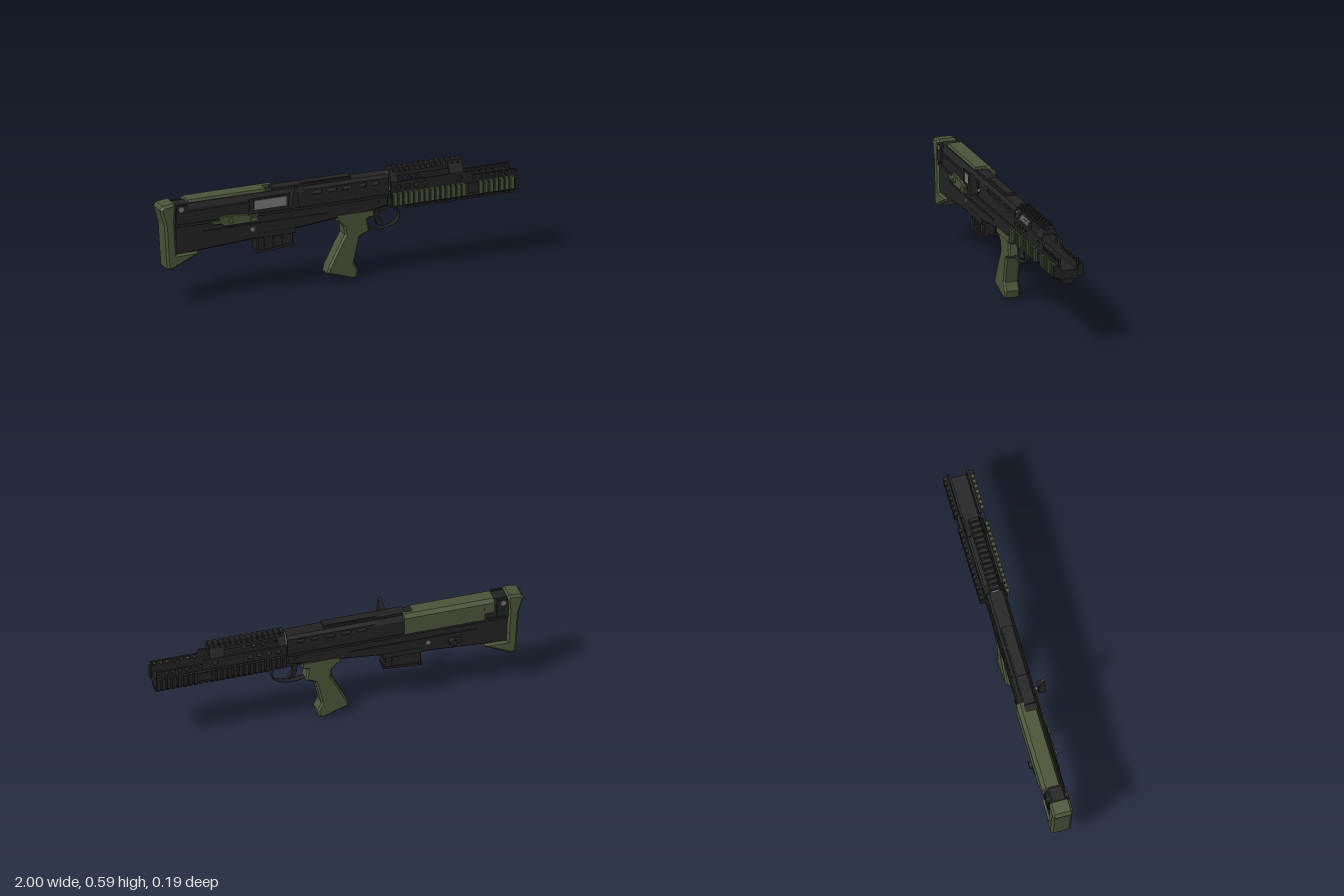
import * as THREE from 'three';

const mat = (name, color) => new THREE.MeshStandardMaterial({ name, color });

export function createModel() {
  const black = mat('black metal', 0x222222);
  const olive = mat('olive polymer', 0x4b5439);
  const gray = mat('bare steel', 0x777777);
  const model = new THREE.Group();
  const ZC = -0.013; // centre plane of the body

  const add = (name, geo, m, parent = model) => {
    const mesh = new THREE.Mesh(geo, m);
    mesh.name = name;
    parent.add(mesh);
    return mesh;
  };
  const group = (name) => {
    const g = new THREE.Group();
    g.name = name;
    model.add(g);
    return g;
  };
  // Box given by its limits
  const box = (name, x0, x1, y0, y1, z0, z1, m, parent) => {
    const b = add(name, new THREE.BoxGeometry(x1 - x0, y1 - y0, z1 - z0), m, parent);
    b.position.set((x0 + x1) / 2, (y0 + y1) / 2, (z0 + z1) / 2);
    return b;
  };
  const shapeOf = (pts) => new THREE.Shape(pts.map((p) => new THREE.Vector2(p[0], p[1])));
  const extrude = (shape, depth, bevel) => new THREE.ExtrudeGeometry(shape, {
    depth: depth - 2 * bevel, bevelEnabled: bevel > 0, bevelThickness: bevel,
    bevelSize: bevel, bevelOffset: -bevel, bevelSegments: 1, curveSegments: 6,
  }).translate(0, 0, bevel);
  // Side profile (x, y) extruded across z
  const side = (name, pts, z0, z1, m, bevel = 0, holes = [], parent = model) => {
    const s = shapeOf(pts);
    s.holes.push(...holes);
    return add(name, extrude(s, z1 - z0, bevel).translate(0, 0, z0), m, parent);
  };
  // Cross-section (z, y) extruded along x
  const along = (name, pts, x0, x1, m, bevel = 0, parent = model) => {
    const s = shapeOf(pts.map(([z, y]) => [-z, y]));
    return add(name, extrude(s, x1 - x0, bevel).rotateY(Math.PI / 2).translate(x0, 0, 0), m, parent);
  };
  // Disc or pin facing z
  const pin = (name, x, y, z0, z1, r, m, n = 12) => {
    const g = new THREE.CylinderGeometry(r, r, z1 - z0, n).toNonIndexed().rotateX(Math.PI / 2);
    g.computeVertexNormals();
    return add(name, g.translate(x, y, (z0 + z1) / 2), m);
  };
  const slot = (x0, x1, y, r) => {
    const p = new THREE.Path();
    p.absarc(x1 - r, y, r, -Math.PI / 2, Math.PI / 2);
    p.absarc(x0 + r, y, r, Math.PI / 2, Math.PI * 1.5);
    p.closePath();
    return p;
  };
  const hole = (x, y, r) => new THREE.Path().absarc(x, y, r, 0, Math.PI * 2);

  // Butt
  side('buttPad', [[-1, 0.543], [-0.985, 0.562], [-0.92, 0.57], [-0.908, 0.55], [-0.915, 0.48], [-0.905, 0.288],
    [-0.78, 0.288], [-0.79, 0.27], [-0.93, 0.205], [-0.957, 0.21], [-0.963, 0.286], [-0.973, 0.45]],
  -0.068, 0.042, olive, 0.012);

  // Receiver
  side('lowerReceiver', [[-0.915, 0.28], [-0.44, 0.31], [0, 0.355], [0.2, 0.37], [0.285, 0.385], [0.285, 0.495], [-0.915, 0.495]],
    ZC - 0.044, ZC + 0.044, black, 0.006);
  const upper = [[ZC + 0.05, 0.44], [ZC + 0.05, 0.53], [ZC + 0.034, 0.556], [ZC - 0.034, 0.556], [ZC - 0.05, 0.53], [ZC - 0.05, 0.44]];
  along('upperReceiver', upper, -0.915, -0.19, black);
  const slots = [[-0.147, -0.092], [-0.064, -0.008], [0.024, 0.078], [0.116, 0.158], [0.188, 0.232]];
  for (const s of [-1, 1]) {
    const z = ZC + s * 0.045;
    side('ventedSidePlate', [[-0.19, 0.44], [0.285, 0.44], [0.285, 0.54], [-0.19, 0.54]], z - 0.005, z + 0.005, black, 0,
      slots.map(([a, b]) => slot(a, b, 0.52, 0.011)));
  }
  along('receiverTop', [[ZC + 0.05, 0.538], [ZC + 0.034, 0.556], [ZC - 0.034, 0.556], [ZC - 0.05, 0.538]], -0.19, 0.285, black);
  box('topCover', -0.36, 0.08, 0.55, 0.568, ZC - 0.03, ZC + 0.03, black);
  box('coverPlate', -0.2, 0.08, 0.568, 0.572, ZC - 0.022, ZC + 0.022, black);
  for (const s of [-1, 1]) {
    const z = ZC + s * 0.05;
    box('seamRib', -0.9, 0.28, 0.436, 0.45, z - 0.005, z + 0.005, black);
    box('lowerRib', -0.75, -0.05, 0.385, 0.395, ZC + s * 0.044 - 0.005, ZC + s * 0.044 + 0.005, black);
    box('upperRib', -0.88, -0.5, 0.505, 0.517, z - 0.004, z + 0.004, black);
    box('bracket', -0.91, -0.85, 0.46, 0.555, z - 0.006, z + 0.006, black);
    pin('rearPin', -0.885, 0.535, z - 0.009, z + 0.009, 0.015, gray, 8);
    pin('lowerPin', -0.48, 0.365, ZC + s * 0.044 - 0.005, ZC + s * 0.044 + 0.005, 0.012, gray);
    pin('frontPin', 0.235, 0.41, ZC + s * 0.044 - 0.005, ZC + s * 0.044 + 0.005, 0.01, black);
  }

  // Cheek rest, wrapped over the right-hand face
  const cheek = (low) => [[0.016, 0.552], [0.01, 0.57], [-0.062, 0.572], [-0.082, 0.555], [-0.084, low + 0.006],
    [-0.076, low], [-0.055, low], [-0.055, 0.545]];
  along('cheekRest', cheek(0.452), -0.78, -0.4, olive);
  along('cheekRestRear', cheek(0.49), -0.835, -0.78, olive);
  along('cheekRestFront', cheek(0.452).map(([z, y]) => [Math.min(z, -0.042), y]), -0.4, -0.345, olive);

  // Ejection port with bolt
  box('portFrame', -0.5, -0.27, 0.465, 0.535, 0.034, 0.042, black);
  box('bolt', -0.475, -0.295, 0.475, 0.525, 0.041, 0.046, gray);

  // Charging handle, narrowing upward
  pin('handleStem', -0.262, 0.488, 0.03, 0.06, 0.009, gray);
  const knob = along('chargingHandle', [[0.095, 0.472], [0.095, 0.592], [0.075, 0.582], [0.057, 0.545], [0.055, 0.472]], -0.288, -0.242, black);
  const kp = knob.geometry.attributes.position;
  for (let i = 0; i < kp.count; i++) {
    const t = THREE.MathUtils.clamp((kp.getY(i) - 0.53) / 0.065, 0, 1);
    kp.setX(i, -0.262 + (kp.getX(i) + 0.262) * (1 - 0.75 * t));
  }
  knob.geometry.computeVertexNormals();

  // Bolt release lever
  side('boltRelease', [[-0.71, 0.425], [-0.66, 0.425], [-0.65, 0.41], [-0.46, 0.41], [-0.45, 0.45], [-0.5, 0.45],
    [-0.52, 0.46], [-0.56, 0.46], [-0.58, 0.465], [-0.66, 0.465], [-0.67, 0.445], [-0.71, 0.445]], 0.03, 0.052, olive, 0.003);
  pin('releasePivot', -0.61, 0.44, 0.045, 0.062, 0.014, olive);
  box('releaseTab', -0.5, -0.46, 0.415, 0.44, 0.05, 0.06, olive);

  // Selector knob on the other side
  pin('selectorKnob', -0.61, 0.35, -0.09, -0.05, 0.02, black);
  box('selectorLever', -0.66, -0.6, 0.34, 0.36, -0.076, -0.05, black);

  // Magazine well and magazine
  side('magazine', [[-0.447, 0.228], [-0.245, 0.243], [-0.245, 0.33], [-0.447, 0.32]], ZC - 0.036, ZC + 0.036, black, 0.006);
  side('magazineBase', [[-0.452, 0.226], [-0.24, 0.241], [-0.24, 0.254], [-0.452, 0.239]], ZC - 0.04, ZC + 0.04, black);
  for (let i = 0; i < 3; i++) {
    box('magazineRib', -0.41 + i * 0.05, -0.385 + i * 0.05, 0.255, 0.31, ZC - 0.039, ZC + 0.039, black);
  }
  box('magazineWell', -0.46, -0.235, 0.31, 0.34, ZC - 0.046, ZC + 0.046, black);

  // Grip, trigger and guard
  side('grip', [[0, 0.372], [0.198, 0.372], [0.198, 0.334], [0.171, 0.323], [0.182, 0.256], [0.128, 0.233], [0.096, 0.094],
    [0.118, 0.05], [0.112, 0.013], [0.09, 0.003], [-0.055, 0.052], [-0.048, 0.083], [0.01, 0.195], [0.043, 0.254],
    [0.037, 0.297], [0.005, 0.33]], ZC - 0.042, ZC + 0.042, olive, 0.01);
  box('gripCollar', 0, 0.198, 0.34, 0.37, ZC - 0.048, ZC + 0.048, olive);
  const guardPath = new THREE.CatmullRomCurve3([[0.3, 0.372], [0.34, 0.355], [0.358, 0.32], [0.345, 0.28], [0.3, 0.257],
    [0.24, 0.25], [0.17, 0.262]].map(([x, y]) => new THREE.Vector3(x, y, 0)));
  const guard = add('triggerGuard', new THREE.TubeGeometry(guardPath, 24, 0.004, 6), black);
  guard.scale.z = 4.5;
  guard.position.z = ZC;
  side('trigger', [[0.215, 0.38], [0.255, 0.38], [0.245, 0.32], [0.255, 0.29], [0.27, 0.275], [0.262, 0.265], [0.235, 0.275],
    [0.222, 0.31]], ZC - 0.012, ZC + 0.012, black);
  box('triggerHousing', 0.2, 0.29, 0.355, 0.39, ZC - 0.025, ZC + 0.025, black);

  // Front face of the receiver and barrel nut
  along('barrelPlate', [[ZC + 0.02, 0.555], [ZC + 0.038, 0.53], [ZC + 0.036, 0.48], [ZC + 0.018, 0.44], [ZC - 0.018, 0.44],
    [ZC - 0.036, 0.48], [ZC - 0.038, 0.53], [ZC - 0.02, 0.555]], 0.275, 0.292, gray);
  for (const [y, r, l] of [[0.47, 0.02, 0.02], [0.47, 0.01, 0.026], [0.525, 0.014, 0.008]]) {
    const g = new THREE.CylinderGeometry(r, r, l, 10).rotateZ(Math.PI / 2);
    add('barrelNut', g.translate(0.29 + l / 2, y, ZC), gray);
  }

  // Handguard: hollow trough with pierced side walls
  const hand = group('handguard');
  box('floor', 0.292, 0.995, 0.375, 0.425, ZC - 0.05, ZC + 0.05, black, hand);
  const holes = [0.335, 0.387, 0.437, 0.488, 0.677].map((x) => hole(x, 0.482, 0.015));
  for (let i = 0; i < 7; i++) holes.push(hole(0.76 + i * 0.0365, 0.476, 0.011));
  for (const s of [-1, 1]) {
    const z = ZC + s * 0.049;
    side('sideWall', [[0.292, 0.385], [0.998, 0.385], [0.998, 0.49], [0.75, 0.49], [0.735, 0.512], [0.292, 0.512]],
      z - 0.006, z + 0.006, black, 0, holes, hand);
    for (const [a, b] of [[0.295, 0.335], [0.625, 0.705]]) {
      along('railArm', [[ZC + s * 0.055, 0.505], [ZC + s * 0.026, 0.555], [ZC + s * 0.012, 0.55], [ZC + s * 0.043, 0.505]], a, b, black, 0, hand);
    }
    pin('clampScrew', 0.745, 0.425, z + s * 0.012 - 0.012, z + s * 0.012 + 0.012, 0.025, black);
  }

  // Toothed rails: base plus evenly spaced ribs
  const ribs = (x0, x1, n, make) => {
    const step = (x1 - x0) / n;
    for (let i = 0; i < n; i++) make(x0 + i * step, x0 + (i + 0.64) * step);
  };
  box('topRail', 0.295, 0.705, 0.533, 0.56, ZC - 0.025, ZC + 0.025, black, hand);
  ribs(0.295, 0.712, 14, (a, b) => along('topRailRib', [[ZC + 0.032, 0.555], [ZC + 0.024, 0.578], [ZC - 0.024, 0.578],
    [ZC - 0.032, 0.555]], a, b, black, 0, hand));
  box('bottomRail', 0.38, 0.998, 0.36, 0.38, ZC - 0.025, ZC + 0.025, black, hand);
  ribs(0.38, 1.005, 21, (a, b) => box('bottomRailRib', a, b, 0.35, 0.364, ZC - 0.03, ZC + 0.03, black, hand));
  for (const s of [-1, 1]) {
    const m = s > 0 ? olive : black;
    const span = (d0, d1) => [ZC + s * d0, ZC + s * d1].sort((p, q) => p - q);
    box('sideRail', 0.295, 0.998, 0.397, 0.45, ...span(0.05, 0.07), black, hand);
    for (const [a, b, n] of [[0.3, 0.715, 14], [0.78, 0.985, 7]]) {
      ribs(a, b, n, (p, q) => box('sideRailRib', p, q, 0.39, 0.458, ...span(0.062, 0.08), m, hand));
    }
    box('railEnd', 0.982, 1, 0.388, 0.452, ...span(0.05, 0.08), black, hand);
  }
  return model;
}
